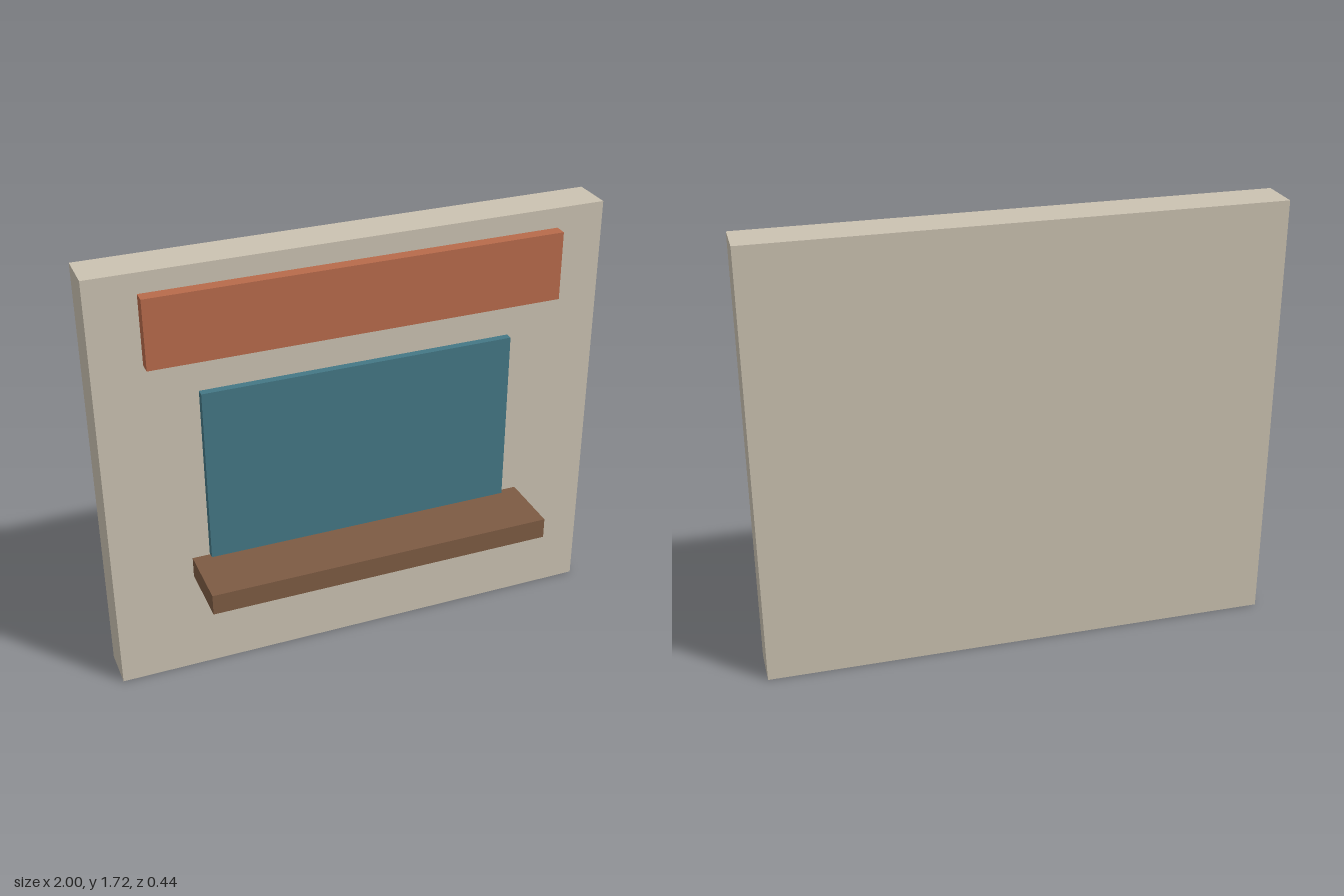
import * as THREE from 'three';

// Axis-aligned slab centred on x, given by its width and its y and z extents
function slab(name, color, width, [y0, y1], [z0, z1]) {
  const mesh = new THREE.Mesh(
    new THREE.BoxGeometry(width, y1 - y0, z1 - z0),
    new THREE.MeshStandardMaterial({ color })
  );
  mesh.name = name;
  mesh.position.set(0, (y0 + y1) / 2, (z0 + z1) / 2);
  return mesh;
}

export function createModel() {
  const group = new THREE.Group();
  group.name = 'wallWithServingWindow';
  group.add(
    slab('wall', 0xcbc2b1, 2, [0, 1.717], [-0.222, -0.055]),
    slab('signBoard', 0xb86b4b, 1.62, [1.365, 1.638], [-0.055, -0.005]),
    // The pane and shelf stand just clear of the wall
    slab('windowPane', 0x447785, 1.236, [0.49, 1.229], [-0.049, -0.019]),
    slab('shelf', 0x7d5b43, 1.377, [0.437, 0.521], [-0.041, 0.222])
  );
  return group;
}
